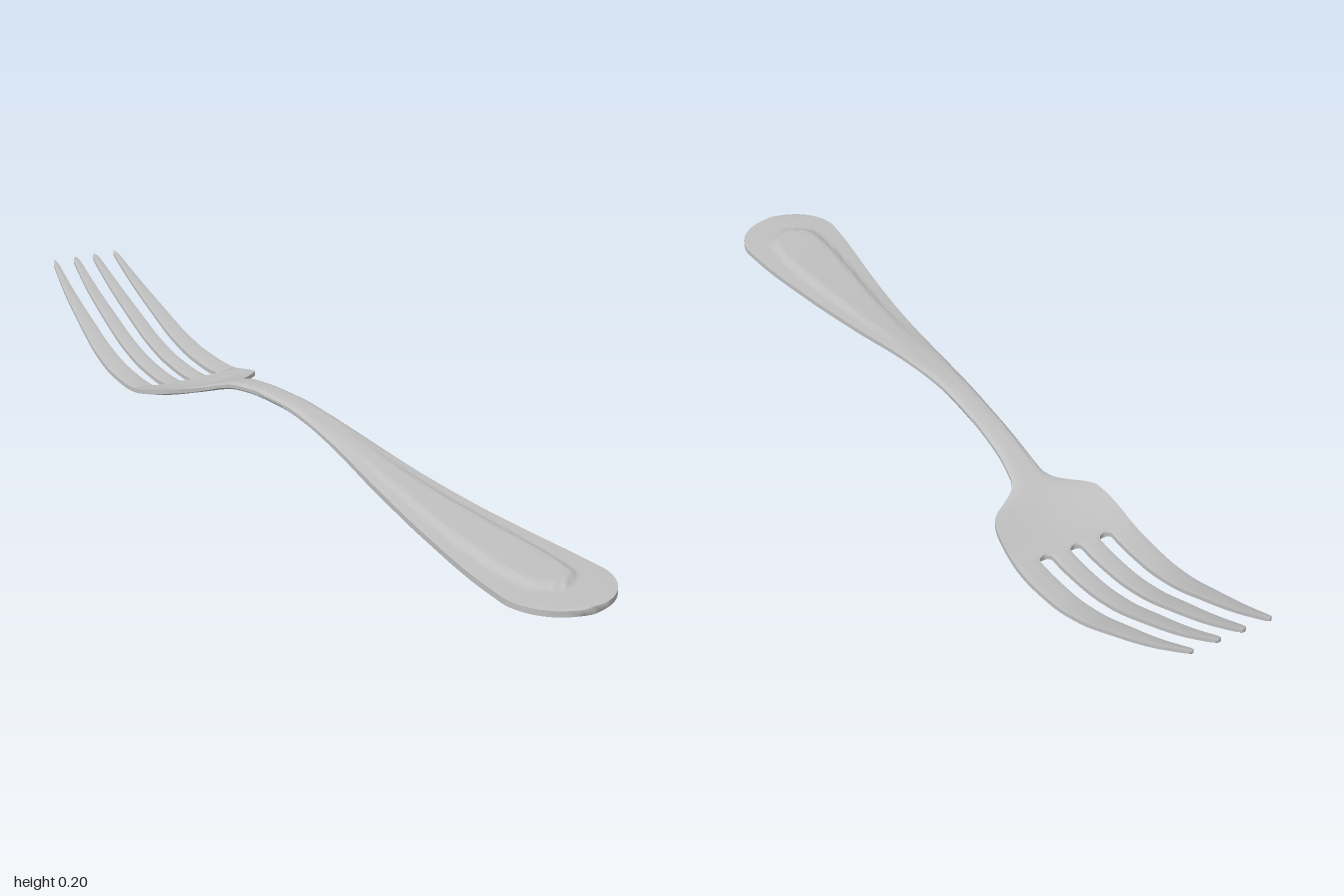
import * as THREE from 'three';
import { toCreasedNormals } from 'three/addons/utils/BufferGeometryUtils.js';

// Smooth, overshoot-free curve through [z, value] keys sorted by rising z
function curve(keys) {
  const n = keys.length;
  const slope = keys.slice(1).map((k, i) => (k[1] - keys[i][1]) / (k[0] - keys[i][0]));
  const tan = keys.map((_, i) => {
    if (i === 0) return slope[0];
    if (i === n - 1) return slope[n - 2];
    const a = slope[i - 1], b = slope[i];
    return a * b <= 0 ? 0 : (2 * a * b) / (a + b);
  });
  return (z) => {
    if (z <= keys[0][0]) return keys[0][1];
    if (z >= keys[n - 1][0]) return keys[n - 1][1];
    let i = 0;
    while (z > keys[i + 1][0]) i++;
    const h = keys[i + 1][0] - keys[i][0], t = (z - keys[i][0]) / h, s = 1 - t;
    return keys[i][1] * (1 + 2 * t) * s * s + keys[i + 1][1] * t * t * (3 - 2 * t)
      + h * t * s * (tan[i] * s - tan[i + 1] * t);
  };
}

// Side profile: height of the middle surface and half thickness
const midY = curve([[-1, 0.2], [-0.9, 0.141], [-0.8, 0.091], [-0.7, 0.046], [-0.6, 0.019], [-0.5, 0.009],
  [-0.4, 0.021], [-0.33, 0.045], [-0.2, 0.085], [-0.1, 0.096], [0, 0.099], [0.1, 0.092], [0.2, 0.079],
  [0.4, 0.047], [0.6, 0.025], [0.8, 0.0135], [1, 0.0085]]);
const halfThick = curve([[-1, 0.005], [-0.5, 0.007], [-0.35, 0.008], [-0.2, 0.01], [0, 0.0105], [0.4, 0.008], [1, 0.008]]);
const roundness = curve([[-0.4, 0.4], [-0.25, 0.85], [0.1, 0.85], [0.4, 0.5], [1, 0.4]]);
const dish = curve([[-0.65, 0], [-0.5, 0.004], [-0.37, 0.012], [-0.3, 0]]);

// Plan outline: half width of the whole fork
const bodyWidth = curve([[-1, 0.092], [-0.9, 0.108], [-0.8, 0.12], [-0.7, 0.13], [-0.6, 0.137], [-0.5, 0.14],
  [-0.45, 0.139], [-0.4, 0.134], [-0.365, 0.124], [-0.345, 0.105], [-0.325, 0.076], [-0.305, 0.05], [-0.28, 0.036],
  [-0.2, 0.029], [-0.1, 0.027], [0, 0.028], [0.2, 0.04], [0.4, 0.062], [0.6, 0.088], [0.8, 0.114], [0.88, 0.12]]);
const halfWidth = (z) => z > 0.88 ? 0.12 * Math.sqrt(Math.max(0, 1 - ((z - 0.88) / 0.12) ** 2)) + 0.0005 : bodyWidth(z);

// Raised teardrop panel pressed into the handle
const panelWidth = curve([[0.1, 0.012], [0.4, 0.034], [0.8, 0.062], [0.86, 0.06], [0.89, 0.045], [0.91, 0.015], [0.93, -0.02]]);
const panelHeight = curve([[0.15, 0], [0.5, 0.007], [0.8, 0.01], [1, 0.01]]);
const panelRise = (x, z) => panelHeight(z) * THREE.MathUtils.smoothstep(panelWidth(z) - Math.abs(x), -0.008, 0.012);

// Loft closed cross-sections from front (+z) to back between two side edges
function loft(zs, left, right, columns, round) {
  const pos = [], idx = [], ring = 2 * (columns + 1);
  for (const z of zs) {
    for (let k = 0; k < ring; k++) {
      const top = k <= columns;
      const u = (top ? k : ring - 1 - k) / columns * 2 - 1;
      const x = THREE.MathUtils.lerp(left(z), right(z), (u + 1) / 2);
      const h = halfThick(z) * Math.sqrt(1 - round(z) * u ** 4);
      const y = midY(z) + dish(z) * (x / 0.13) ** 2 + (top ? h : -h) + panelRise(x, z) * (top ? 1 : 0.7);
      pos.push(x, y, z);
    }
  }
  const last = (zs.length - 1) * ring;
  for (let i = 0; i < last; i += ring) {
    for (let k = 0; k < ring; k++) {
      const a = i + k, b = i + (k + 1) % ring;
      idx.push(a, b, b + ring, a, b + ring, a + ring);
    }
  }
  // End caps
  for (let k = 0; k < columns; k++) {
    const a = k, b = k + 1, c = ring - 2 - k, d = ring - 1 - k;
    idx.push(a, c, b, a, d, c);
    idx.push(last + a, last + b, last + c, last + a, last + c, last + d);
  }
  const g = new THREE.BufferGeometry();
  g.setAttribute('position', new THREE.Float32BufferAttribute(pos, 3));
  g.setIndex(idx);
  return toCreasedNormals(g, 0.7);
}

const range = (a, b, n) => Array.from({ length: n + 1 }, (_, i) => a + (b - a) * i / n);

export function createModel() {
  const group = new THREE.Group();
  const steel = new THREE.MeshStandardMaterial({ color: 0xc0c0c0 });
  steel.name = 'steel';
  const add = (name, geometry) => {
    const mesh = new THREE.Mesh(geometry, steel);
    mesh.name = name;
    group.add(mesh);
  };

  // Handle with rounded end, and neck
  const tip = range(0, Math.PI / 2, 16).map((a) => 0.88 + 0.12 * Math.cos(a));
  add('handle', loft([...tip, ...range(0.87, -0.28, 60)], (z) => -halfWidth(z), halfWidth, 32, roundness));

  // Shoulders and solid root of the tines
  const slotStart = -0.475;
  add('head', loft(range(-0.28, slotStart, 30), (z) => -halfWidth(z), halfWidth, 24, roundness));

  // Slot edges, closing to a rounded end at the head
  const open = (z) => Math.sqrt(Math.max(0, 1 - (1 - Math.min(1, (slotStart - z) / 0.012)) ** 2));
  const slotEdge = (centre, edge) => (z) => THREE.MathUtils.lerp(centre, edge(z), open(z));
  const innerLeft = slotEdge(0, curve([[-1, 0.019], [-0.8, 0.0155], [-0.48, 0.014]]));
  const innerRight = slotEdge(0.072, curve([[-1, 0.036], [-0.9, 0.045], [-0.75, 0.052], [-0.48, 0.057]]));
  const outerLeft = slotEdge(0.072, curve([[-1, 0.08], [-0.48, 0.087]]));

  // Tines with rounded tips, mirrored left and right
  const tineZ = [...range(slotStart, slotStart - 0.012, 6), ...range(-0.5, -0.98, 28),
    ...range(0.2, Math.PI / 2, 6).map((a) => -0.98 - 0.02 * Math.sin(a))];
  const taper = (z) => z > -0.98 ? 1 : Math.sqrt(Math.max(0, 1 - ((-z - 0.98) / 0.02) ** 2)) * 0.75 + 0.25;
  const tineRound = () => 0.45;
  for (const [name, l, r] of [['InnerTine', innerLeft, innerRight], ['OuterTine', outerLeft, halfWidth]]) {
    const lo = (z) => (l(z) + r(z)) / 2 - (r(z) - l(z)) / 2 * taper(z);
    const hi = (z) => (l(z) + r(z)) / 2 + (r(z) - l(z)) / 2 * taper(z);
    add('left' + name, loft(tineZ, lo, hi, 8, tineRound));
    add('right' + name, loft(tineZ, (z) => -hi(z), (z) => -lo(z), 8, tineRound));
  }
  return group;
}
